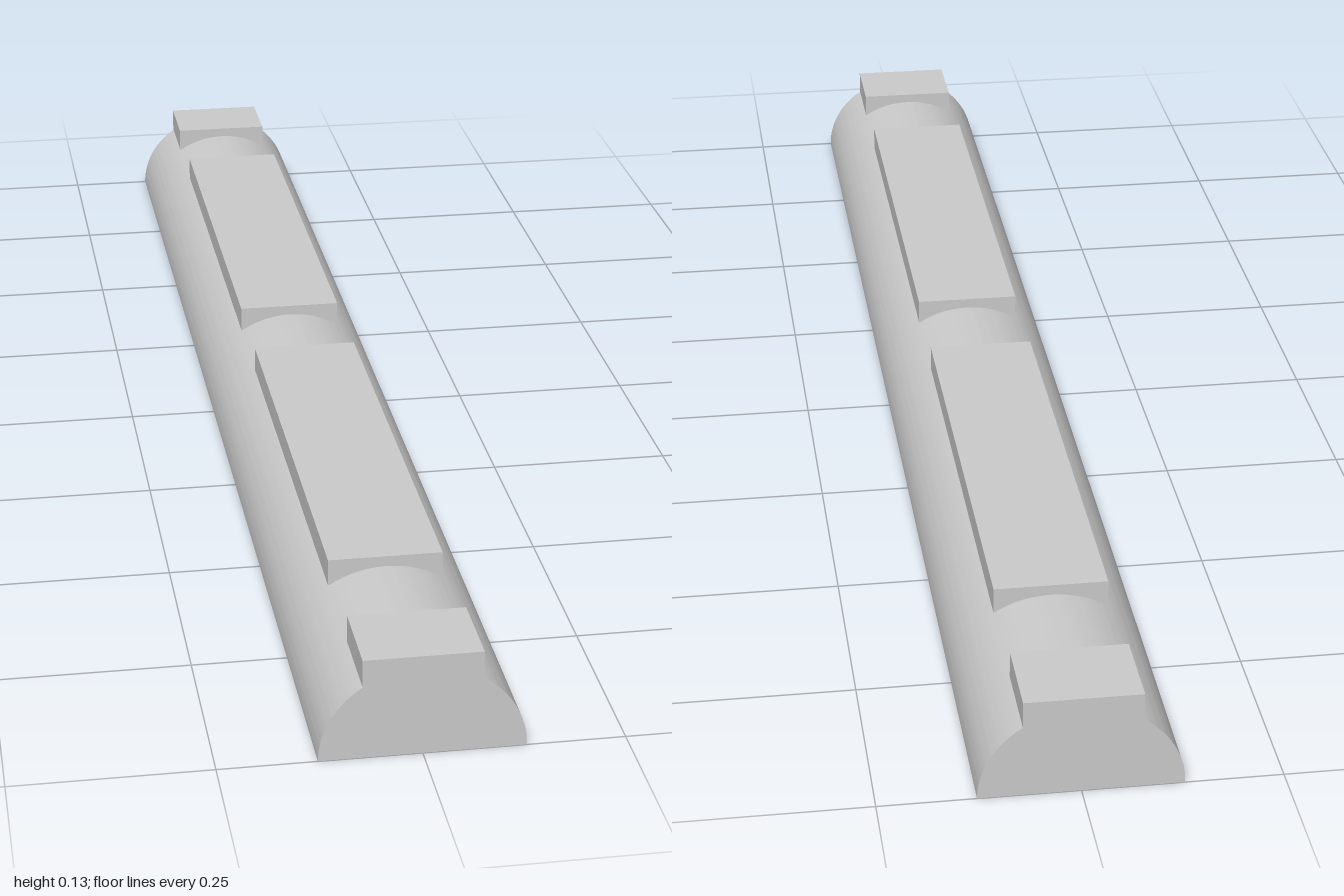
import * as THREE from 'three';
import { toCreasedNormals } from 'three/addons/utils/BufferGeometryUtils.js';

export function createModel() {
  const group = new THREE.Group();
  const material = new THREE.MeshStandardMaterial({ color: 0xcccccc });

  const add = (name, geometry, x, y, z) => {
    const mesh = new THREE.Mesh(geometry, material);
    mesh.name = name;
    mesh.position.set(x, y, z);
    group.add(mesh);
  };

  // Long bar with a flat base and a slightly flattened half-round section
  const section = new THREE.Shape();
  section.absellipse(0, 0, 0.1275, 0.119, 0, Math.PI, false, 0);
  const bar = new THREE.ExtrudeGeometry(section, { depth: 2, bevelEnabled: false, curveSegments: 32 });
  add('halfRoundBar', toCreasedNormals(bar, Math.PI / 5), 0, 0, -1);

  // Flat pads seated in the crown, mirrored front to back
  const bottom = 0.098, top = 0.133, width = 0.147;
  const pads = [
    ['longPad', 0.075, 0.745],
    ['endPad', 0.89, 1],
  ];
  for (const [name, near, far] of pads) {
    for (const side of [1, -1]) {
      const pad = new THREE.BoxGeometry(width, top - bottom, far - near);
      add(name + (side > 0 ? 'Front' : 'Back'), pad, -0.001, (top + bottom) / 2, side * (near + far) / 2);
    }
  }
  return group;
}
